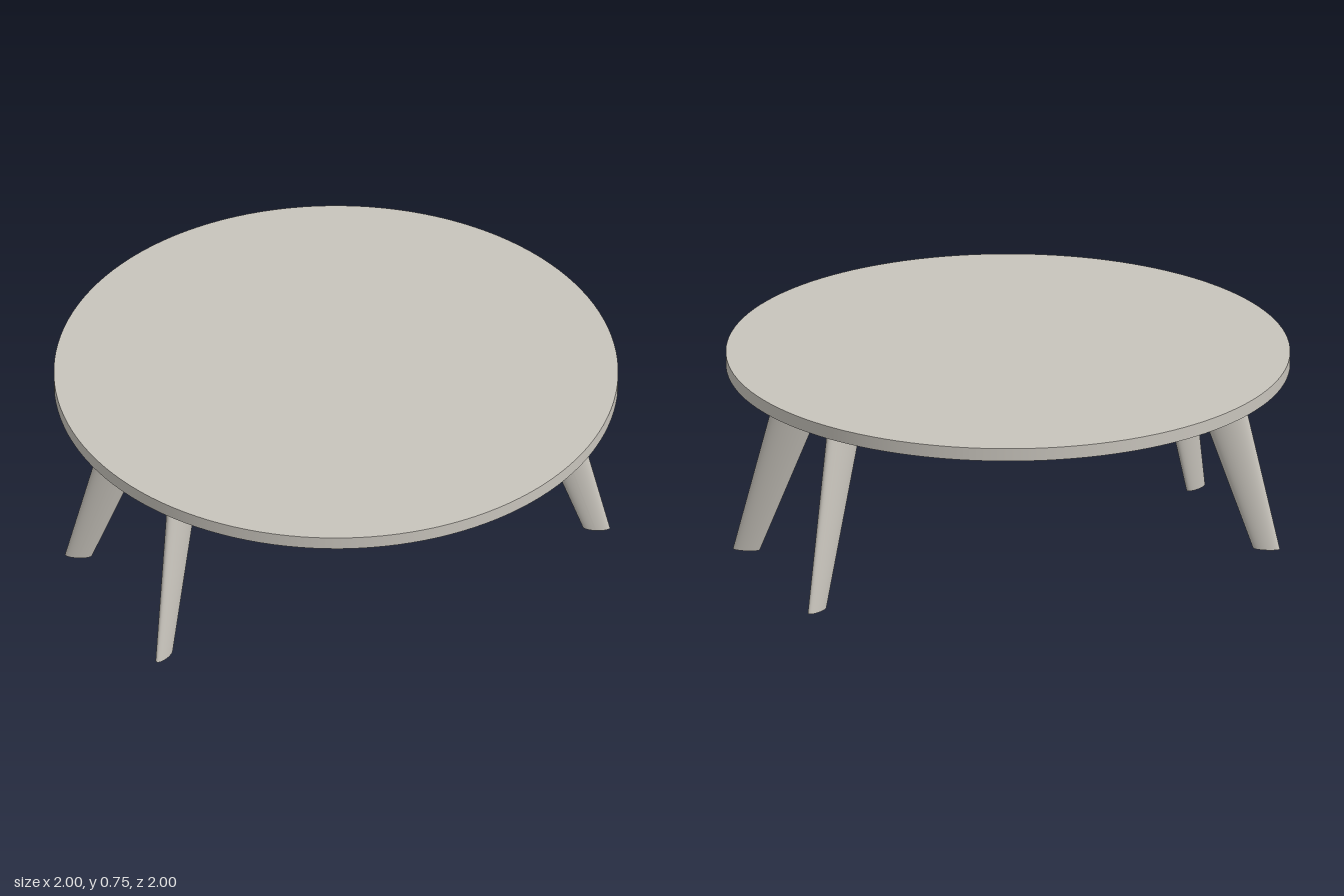
import * as THREE from 'three';

const TOP_Y = 0.745;
const UNDER_Y = 0.698;

// Tapered, splayed leg with an elliptical section, cut level at floor and top
function legGeometry(sx, sz, footX, topX) {
  const geo = new THREE.CylinderGeometry(1, 1, 1, 48, 1);
  const pos = geo.attributes.position;
  const angle = THREE.MathUtils.degToRad(30) * sx * sz;
  const c = Math.cos(angle), s = Math.sin(angle);
  const lerp = THREE.MathUtils.lerp;
  for (let i = 0; i < pos.count; i++) {
    const t = pos.getY(i) + 0.5;
    const u = pos.getX(i) * lerp(0.048, 0.096, t);
    const v = pos.getZ(i) * lerp(0.018, 0.035, t);
    pos.setXYZ(
      i,
      sx * lerp(footX, topX, t) + u * c - v * s,
      t * UNDER_Y,
      sz * lerp(0.338, 0.186, t) + u * s + v * c
    );
  }
  geo.computeVertexNormals();
  return geo;
}

export function createModel() {
  const model = new THREE.Group();
  model.name = 'roundCoffeeTable';
  const stone = new THREE.MeshStandardMaterial({ color: 0xc8c4bc });
  stone.name = 'warm grey';

  // Round table top
  const top = new THREE.Mesh(
    new THREE.CylinderGeometry(1, 1, TOP_Y - UNDER_Y, 128),
    stone
  );
  top.name = 'tableTop';
  top.position.y = (TOP_Y + UNDER_Y) / 2;
  model.add(top);

  // Four legs, the pair on +x splayed slightly further
  for (const sx of [1, -1]) {
    for (const sz of [1, -1]) {
      const footX = sx > 0 ? 0.863 : 0.851;
      const leg = new THREE.Mesh(legGeometry(sx, sz, footX, 0.686), stone);
      leg.name = (sz > 0 ? 'front' : 'back') + (sx > 0 ? 'Left' : 'Right') + 'Leg';
      model.add(leg);
    }
  }
  return model;
}
